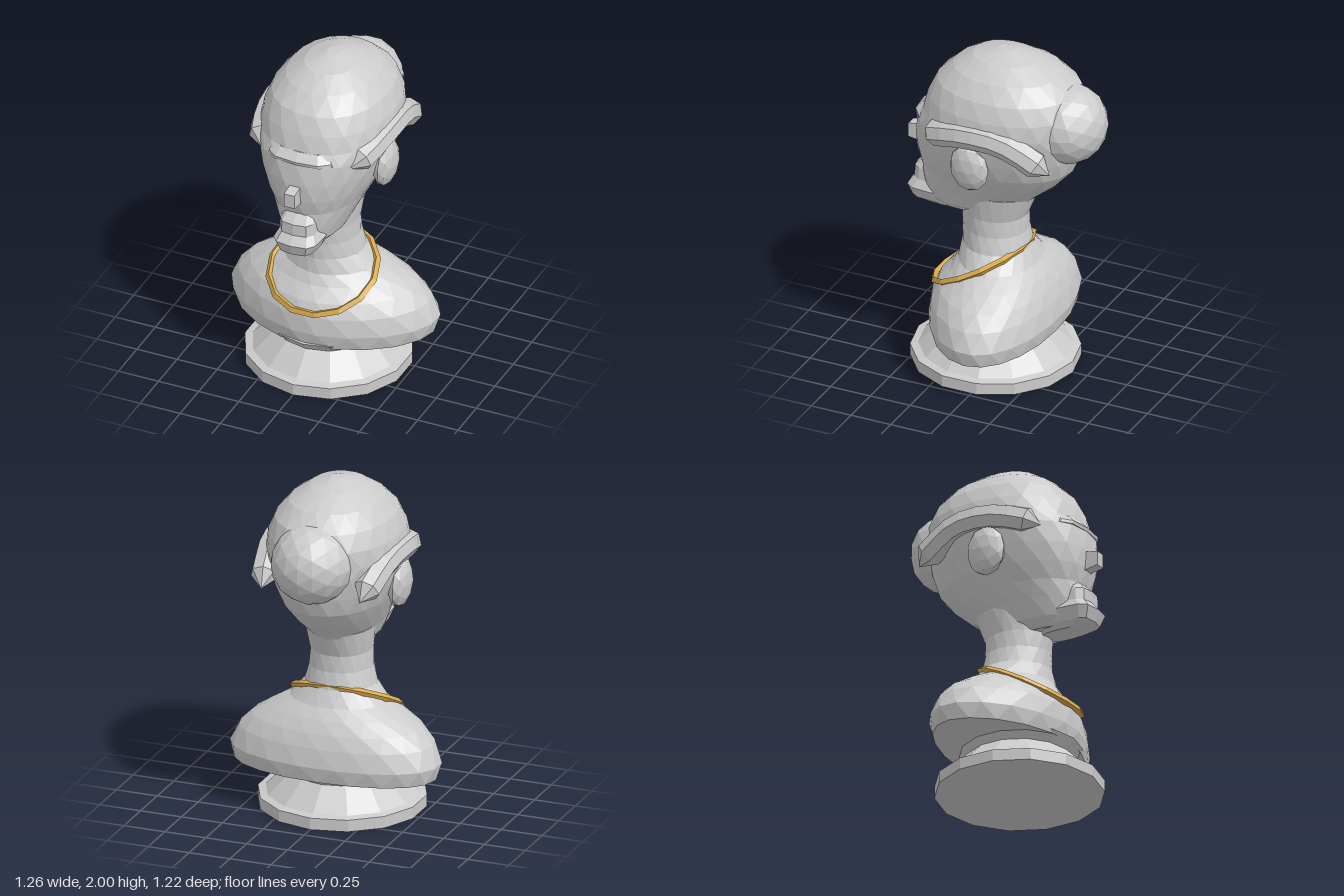
import * as THREE from 'three';

const stone = new THREE.MeshStandardMaterial({ color: 0xcccccc, flatShading: true });
const gold = new THREE.MeshStandardMaterial({ color: 0xd9a94c, flatShading: true });

// Closed loft through horizontal rings [y, halfWidth, zFront, zBack, zWidest?].
// The exponents set how boxy the front and back halves are.
function loft(rings, sides, frontPower, backPower, stagger = true) {
  const pos = [], index = [];
  rings.forEach(([y, w, zf, zb, zc = (zf + zb) / 2], i) => {
    for (let j = 0; j < sides; j++) {
      const a = ((j + (stagger && i % 2 ? 0.5 : 0)) / sides) * Math.PI * 2;
      const s = Math.sin(a), c = Math.cos(a);
      const p = 2 / (c > 0 ? frontPower : backPower);
      const x = Math.sign(s) * Math.abs(s) ** p * w;
      const z = zc + Math.abs(c) ** p * ((c > 0 ? zf : zb) - zc);
      pos.push(x, y, z);
    }
  });
  const last = rings.length - 1;
  for (const i of [0, last]) pos.push(0, rings[i][0], (rings[i][2] + rings[i][3]) / 2);
  const bottom = rings.length * sides, top = bottom + 1;
  for (let j = 0; j < sides; j++) {
    const k = (j + 1) % sides;
    for (let i = 0; i < last; i++) {
      const a = i * sides + j, b = i * sides + k, d = a + sides, c = b + sides;
      if (i % 2) index.push(a, b, c, a, c, d);
      else index.push(a, b, d, b, c, d);
    }
    index.push(bottom, k, j, top, last * sides + j, last * sides + k);
  }
  const g = new THREE.BufferGeometry();
  g.setAttribute('position', new THREE.Float32BufferAttribute(pos, 3));
  g.setIndex(index);
  g.computeVertexNormals();
  return g;
}

// Bent roll whose end rings are shrunk to close it
function roll(points, radius, steps, sides) {
  const curve = new THREE.CatmullRomCurve3(points.map(p => new THREE.Vector3(...p)));
  const g = new THREE.TubeGeometry(curve, steps, radius, sides);
  const p = g.attributes.position;
  for (const [ring, t] of [[0, 0], [steps, 1]]) {
    const c = curve.getPointAt(t);
    for (let j = 0; j <= sides; j++) p.setXYZ(ring * (sides + 1) + j, c.x, c.y, c.z);
  }
  g.computeVertexNormals();
  return g;
}

export function createModel() {
  const model = new THREE.Group();
  const add = (name, geometry, material = stone) => {
    const mesh = new THREE.Mesh(geometry, material);
    mesh.name = name;
    model.add(mesh);
    return mesh;
  };

  // Turned plinth
  const profile = [[0, 0], [0.485, 0], [0.485, 0.07], [0.44, 0.08], [0.31, 0.21], [0.36, 0.27], [0, 0.27]];
  add('plinth', new THREE.LatheGeometry(profile.map(p => new THREE.Vector2(...p)), 14)).position.z = 0.075;

  // Shoulders flowing into the neck
  add('shouldersAndNeck', loft([
    [0.25, 0.61, 0.41, -0.31, -0.02],
    [0.34, 0.635, 0.43, -0.33, -0.02],
    [0.45, 0.585, 0.42, -0.31, -0.01],
    [0.53, 0.51, 0.385, -0.28, 0],
    [0.6, 0.4, 0.32, -0.24, 0.02],
    [0.66, 0.29, 0.285, -0.19, 0.04],
    [0.75, 0.21, 0.27, -0.14],
    [0.85, 0.185, 0.27, -0.12],
    [0.95, 0.18, 0.28, -0.12],
    [1.1, 0.2, 0.3, -0.18],
  ], 20, 1.75, 2.15));

  // Skull and face
  add('head', loft([
    [0.95, 0.11, 0.45, 0.02],
    [1.0, 0.165, 0.49, -0.1],
    [1.1, 0.21, 0.51, -0.2],
    [1.2, 0.26, 0.51, -0.32],
    [1.3, 0.31, 0.535, -0.41],
    [1.41, 0.35, 0.54, -0.45],
    [1.53, 0.38, 0.525, -0.47],
    [1.6, 0.39, 0.485, -0.47],
    [1.7, 0.375, 0.455, -0.47],
    [1.8, 0.335, 0.405, -0.43],
    [1.89, 0.26, 0.31, -0.33],
    [1.96, 0.155, 0.2, -0.19],
    [2.0, 0.04, 0.05, -0.05],
  ], 20, 2.25, 2.1));

  // Brow ledge
  add('brow', loft([
    [1.535, 0.22, 0.525, 0.2],
    [1.555, 0.21, 0.53, 0.2],
    [1.6, 0.18, 0.485, 0.2],
  ], 12, 3, 3, false));

  // Tapered nose block
  const nose = new THREE.BoxGeometry(0.065, 0.13, 0.13);
  const np = nose.attributes.position;
  for (let i = 0; i < np.count; i++) if (np.getZ(i) > 0) np.setY(i, np.getY(i) * 0.65);
  nose.computeVertexNormals();
  add('nose', nose).position.set(0, 1.34, 0.545);

  // Jutting mouth and chin
  add('chin', loft([
    [0.93, 0.075, 0.49, 0.25],
    [0.96, 0.11, 0.575, 0.25],
    [1.03, 0.14, 0.6, 0.25],
    [1.08, 0.115, 0.56, 0.25],
    [1.15, 0.11, 0.56, 0.25],
    [1.2, 0.09, 0.51, 0.25],
  ], 12, 3.5, 3.5, false));

  // Gathered hair at the back
  const bun = add('hairBun', new THREE.IcosahedronGeometry(1, 2));
  bun.scale.set(0.24, 0.235, 0.235);
  bun.position.set(0, 1.605, -0.375);

  // Ears and the hair rolls swept back over them
  for (const [side, s] of [['left', 1], ['right', -1]]) {
    const ear = add(side + 'Ear', new THREE.IcosahedronGeometry(1, 1));
    ear.scale.set(0.065, 0.15, 0.12);
    ear.position.set(s * 0.355, 1.385, 0.07);
    ear.rotation.z = s * -0.06;
    add(side + 'HairRoll', roll([
      [s * 0.27, 1.5, 0.39], [s * 0.32, 1.55, 0.26], [s * 0.35, 1.59, 0.08],
      [s * 0.345, 1.58, -0.13], [s * 0.32, 1.5, -0.29], [s * 0.3, 1.42, -0.41],
    ], 0.08, 9, 7));
  }

  // Tilted necklace
  const necklace = add('necklace', new THREE.TorusGeometry(0.312, 0.022, 4, 14), gold);
  necklace.position.set(0, 0.62, 0.15);
  necklace.rotation.x = Math.PI / 2 + 0.49;

  return model;
}
